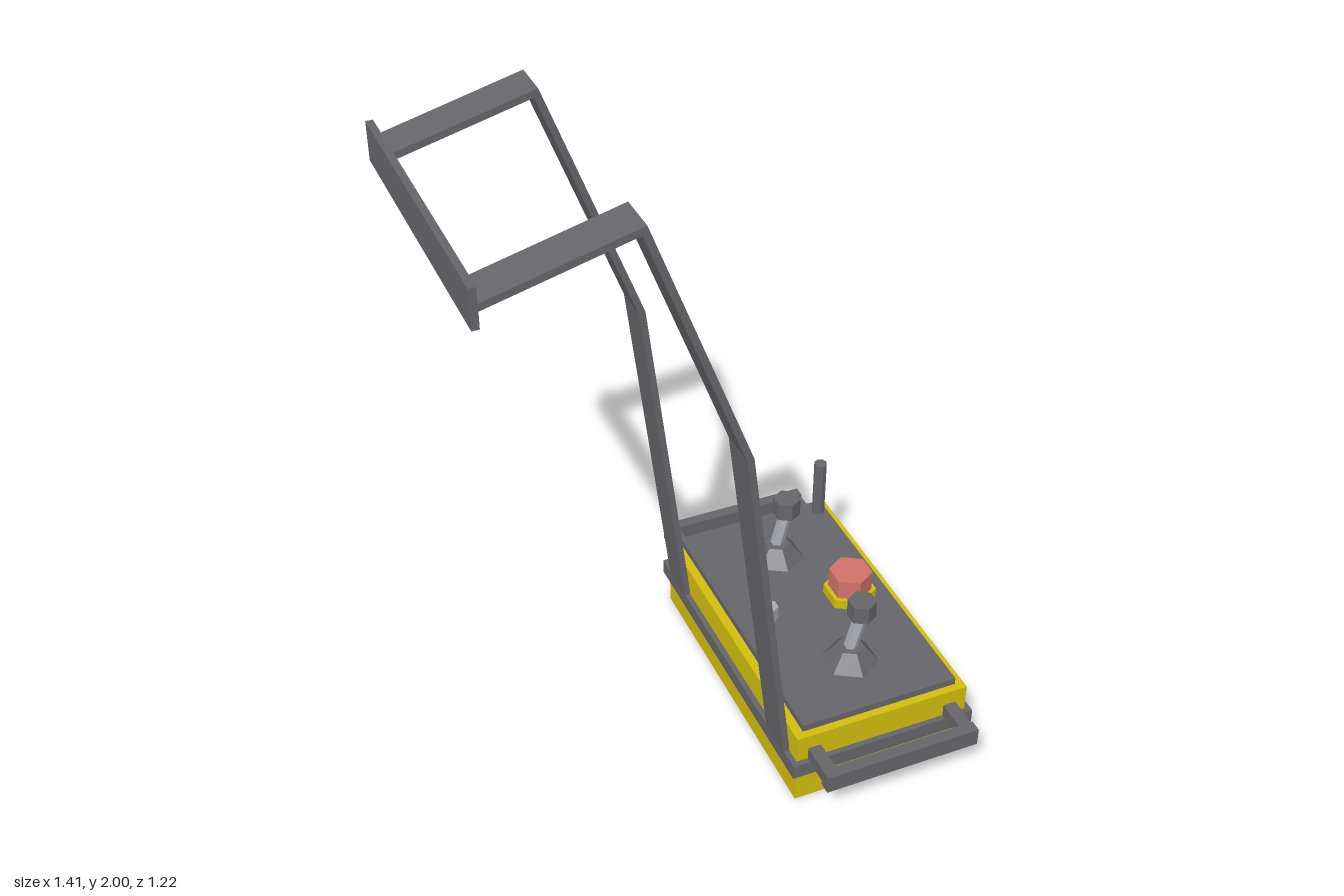
import * as THREE from 'three';

const material = (name, color) => {
  const m = new THREE.MeshStandardMaterial({ color, flatShading: true });
  m.name = name;
  return m;
};

export function createModel() {
  const grey = material('dark grey', 0x66656a);
  const yellow = material('yellow', 0xd1bd0d);
  const red = material('soft red', 0xd0716a);
  const silver = material('light grey', 0xa6aaae);
  const model = new THREE.Group();
  model.name = 'controlUnit';

  const add = (name, geometry, mat, x = 0, y = 0, z = 0, parent = model) => {
    const mesh = new THREE.Mesh(geometry, mat);
    mesh.name = name;
    mesh.position.set(x, y, z);
    parent.add(mesh);
    return mesh;
  };
  // Box given by its extents
  const box = (name, mat, x0, x1, y0, y1, z0, z1) =>
    add(name, new THREE.BoxGeometry(x1 - x0, y1 - y0, z1 - z0), mat,
      (x0 + x1) / 2, (y0 + y1) / 2, (z0 + z1) / 2);
  // Upright prism or frustum standing on y0
  const prism = (name, mat, x, z, y0, y1, r0, r1 = r0, sides = 6) =>
    add(name, new THREE.CylinderGeometry(r1, r0, y1 - y0, sides), mat, x, (y0 + y1) / 2, z);

  // Body, surrounding band and control panel
  box('body', yellow, 0.132, 0.684, 0, 0.245, -0.477, 0.477);
  box('band', grey, 0.115, 0.702, 0.108, 0.156, -0.494, 0.494);
  box('controlPanel', grey, 0.16, 0.657, 0.24, 0.268, -0.453, 0.453);

  // Flat strap profile with mitred bends
  const path = [[0.124, 0.15], [-0.014, 1.26], [-0.29, 1.99], [-0.69, 1.885]]
    .map(([x, y]) => new THREE.Vector2(x, y));
  const half = 0.01;
  const offset = (side) => path.map((p, i) => {
    const a = p.clone().sub(path[Math.max(i - 1, 0)]).normalize();
    const b = path[Math.min(i + 1, path.length - 1)].clone().sub(p).normalize();
    const dir = a.add(b).normalize();
    const seg = (i ? p.clone().sub(path[i - 1]) : path[1].clone().sub(p)).normalize();
    return new THREE.Vector2(-dir.y, dir.x).multiplyScalar(side * half / dir.dot(seg)).add(p);
  });
  const strap = new THREE.ExtrudeGeometry(
    new THREE.Shape([...offset(1), ...offset(-1).reverse()]),
    { depth: 0.117, bevelEnabled: false });
  strap.translate(0, 0, -0.0585);

  for (const s of [1, -1]) {
    const side = s > 0 ? 'Front' : 'Back';
    add('pushBar' + side, strap, grey, 0, 0, s * 0.3685);

    // Carrying handle
    const z = [s * 0.574, s * 0.61].sort((a, b) => a - b);
    box('carryGrip' + side, grey, 0.165, 0.652, 0.146, 0.204, ...z);
    const armZ = [s * 0.47, s * 0.58].sort((a, b) => a - b);
    for (const x of [0.168, 0.61])
      box('carryArm' + side, grey, x, x + 0.04, 0.153, 0.197, ...armZ);

    // Joystick: boot, leaning stick and knob
    const jz = s * 0.257;
    prism('joystickBoot' + side, grey, 0.408, jz, 0.267, 0.322, 0.089, 0.042);
    const from = new THREE.Vector3(0.404, 0.3, jz), to = new THREE.Vector3(0.438, 0.44, jz);
    const stick = add('joystickStick' + side,
      new THREE.CylinderGeometry(0.021, 0.021, from.distanceTo(to), 6), silver);
    stick.position.copy(from).lerp(to, 0.5);
    stick.quaternion.setFromUnitVectors(new THREE.Vector3(0, 1, 0), to.clone().sub(from).normalize());
    prism('joystickKnob' + side, grey, 0.437, jz, 0.431, 0.49, 0.043);
  }
  box('pushBarGrip', grey, -0.706, -0.686, 1.829, 1.94, -0.427, 0.427);

  // Stop button, small button and aerial
  prism('stopButtonBase', yellow, 0.537, 0, 0.267, 0.3, 0.081);
  prism('stopButton', red, 0.537, 0, 0.299, 0.366, 0.067);
  prism('smallButton', silver, 0.262, 0, 0.267, 0.315, 0.029);
  prism('aerial', grey, 0.629, -0.407, 0.267, 0.464, 0.021, 0.021, 8);

  return model;
}
